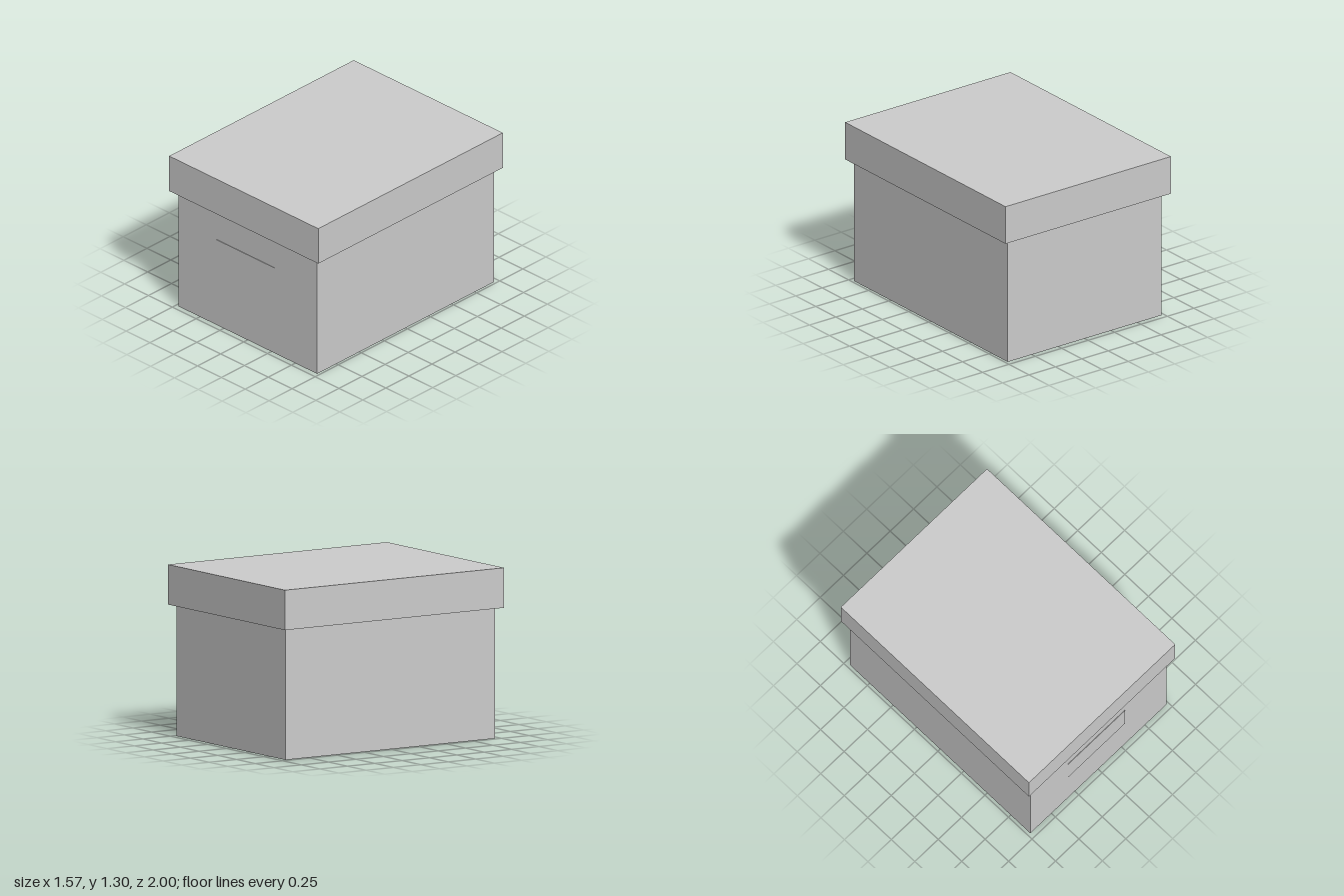
import * as THREE from 'three';

const material = new THREE.MeshStandardMaterial({ color: 0xcccccc, flatShading: true });

// Box given by its size and the centre of its base
function addBox(group, name, [w, h, d], [x, y, z]) {
  const mesh = new THREE.Mesh(new THREE.BoxGeometry(w, h, d), material);
  mesh.name = name;
  mesh.position.set(x, y + h / 2, z);
  group.add(mesh);
}

export function createModel() {
  const group = new THREE.Group();
  group.name = 'storageBox';

  // Carton body with an overhanging lid
  addBox(group, 'body', [1.456, 1, 1.916], [0.002, 0, 0]);
  addBox(group, 'lid', [1.565, 0.305, 2], [0, 1, 0]);

  // Thin blank label plate on the front face
  addBox(group, 'frontLabel', [0.61, 0.285, 0.008], [-0.02, 0.46, 0.958]);

  return group;
}
